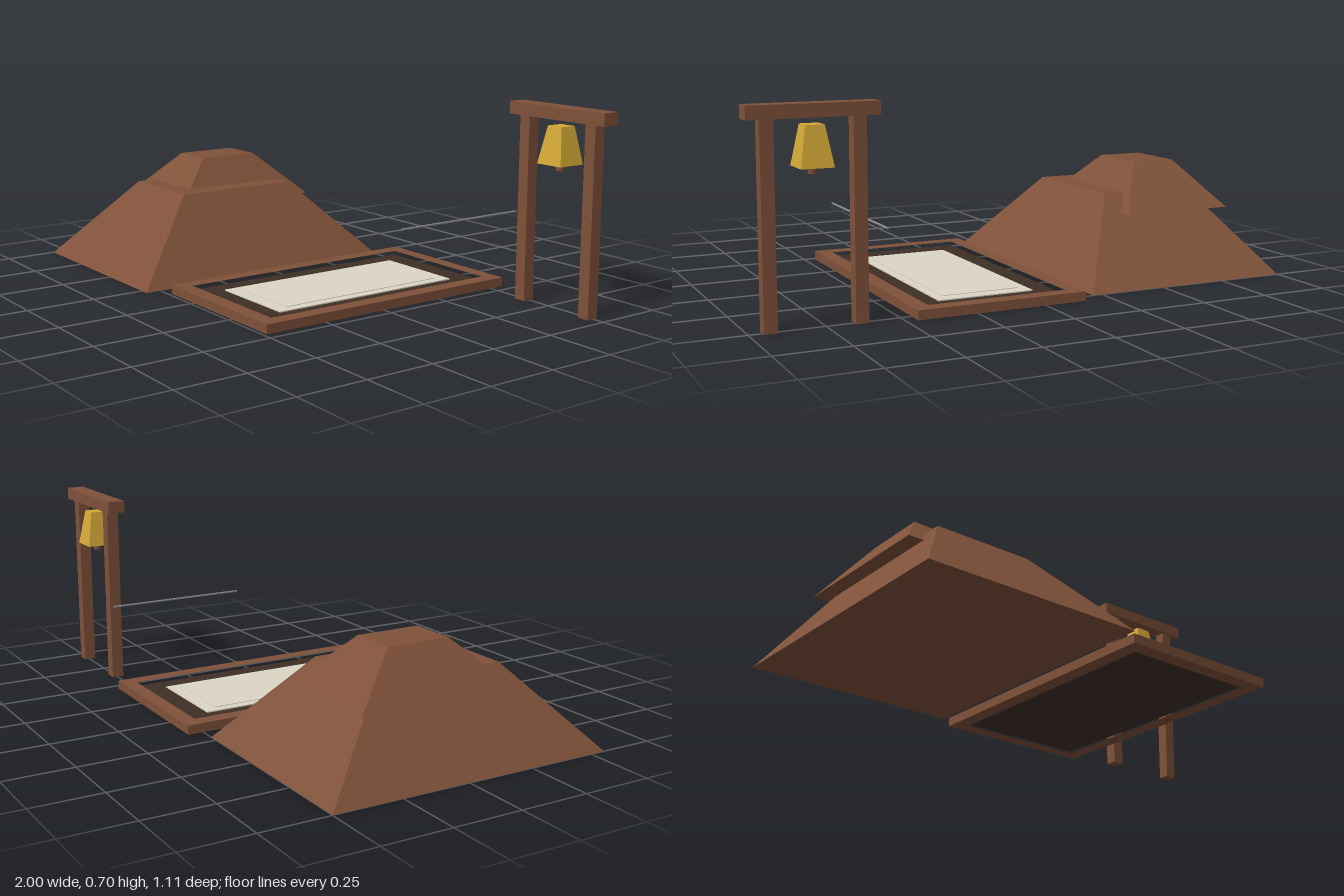
import * as THREE from 'three';

const material = (name, color) => {
  const m = new THREE.MeshStandardMaterial({ color });
  m.name = name;
  return m;
};

export function createModel() {
  const model = new THREE.Group();
  model.name = 'courtyardSet';
  const brown = material('brown wood', 0x80523a);
  const dark = material('dark lining', 0x3e2f26);
  const cream = material('cream sheet', 0xddd6c6);
  const gold = material('gold', 0xd4a937);
  const grey = material('grey metal', 0x888888);

  const add = (name, geometry, mat, parent = model) => {
    const mesh = new THREE.Mesh(geometry, mat);
    mesh.name = name;
    parent.add(mesh);
    return mesh;
  };

  // Box given by its extents on each axis
  const box = (name, [x0, x1], [y0, y1], [z0, z1], mat, parent) =>
    add(name, new THREE.BoxGeometry(x1 - x0, y1 - y0, z1 - z0)
      .translate((x0 + x1) / 2, (y0 + y1) / 2, (z0 + z1) / 2), mat, parent);

  // Four-sided frustum given by its base extents and top/base ratio
  const frustum = (name, [x0, x1], [y0, y1], [z0, z1], ratio, mat, parent) => {
    const g = new THREE.CylinderGeometry(ratio * Math.SQRT1_2, Math.SQRT1_2, 1, 4)
      .rotateY(Math.PI / 4)
      .scale(x1 - x0, y1 - y0, z1 - z0)
      .translate((x0 + x1) / 2, (y0 + y1) / 2, (z0 + z1) / 2)
      .toNonIndexed();
    g.computeVertexNormals();
    return add(name, g, mat, parent);
  };

  // Stepped roof: wide lower tier with an offset cap
  const roof = new THREE.Group();
  roof.name = 'roof';
  model.add(roof);
  frustum('lowerRoof', [-1, -0.214], [0, 0.298], [-0.5, 0.557], 0.457, brown, roof);
  frustum('upperRoof', [-0.887, -0.46], [0.235, 0.4], [-0.328, 0.262], 0.4, brown, roof);

  // Shallow tray: open frame, dark floor and a cream sheet with an inset panel
  const tray = new THREE.Group();
  tray.name = 'tray';
  model.add(tray);
  const rectangle = (path, x0, x1, z0, z1) => path
    .moveTo(x0, -z0).lineTo(x1, -z0).lineTo(x1, -z1).lineTo(x0, -z1).closePath();
  const rim = new THREE.Shape();
  rectangle(rim, -0.153, 0.461, -0.557, 0.487);
  const opening = new THREE.Path();
  rectangle(opening, -0.098, 0.406, -0.505, 0.432);
  rim.holes.push(opening);
  add('trayFrame', new THREE.ExtrudeGeometry(rim, { depth: 0.033, bevelEnabled: false })
    .rotateX(-Math.PI / 2), brown, tray);
  box('trayFloor', [-0.098, 0.406], [0.006, 0.018], [-0.505, 0.432], dark, tray);
  box('sheet', [-0.022, 0.33], [0.018, 0.022], [-0.418, 0.344], cream, tray);
  box('sheetPanel', [0.01, 0.296], [0.022, 0.024], [-0.37, 0.296], cream, tray);

  // Slender horizontal rod
  add('rod', new THREE.CylinderGeometry(0.004, 0.004, 0.53, 8)
    .rotateX(Math.PI / 2).translate(0.551, 0.3, -0.263), grey);

  // Bell gate: two posts, a beam, a square bell and its clapper
  const gate = new THREE.Group();
  gate.name = 'bellGate';
  model.add(gate);
  for (const side of [-1, 1]) {
    const x = 0.784 + side * 0.149;
    box(side > 0 ? 'leftPost' : 'rightPost', [x - 0.022, x + 0.022], [0, 0.66],
      [-0.518, -0.474], brown, gate);
  }
  box('beam', [0.57, 1], [0.659, 0.703], [-0.528, -0.464], brown, gate);
  frustum('bell', [0.73, 0.838], [0.506, 0.637], [-0.55, -0.442], 0.58, gold, gate);
  add('clapper', new THREE.CylinderGeometry(0.017, 0.014, 0.03, 8)
    .translate(0.784, 0.498, -0.496), brown, gate);

  return model;
}
